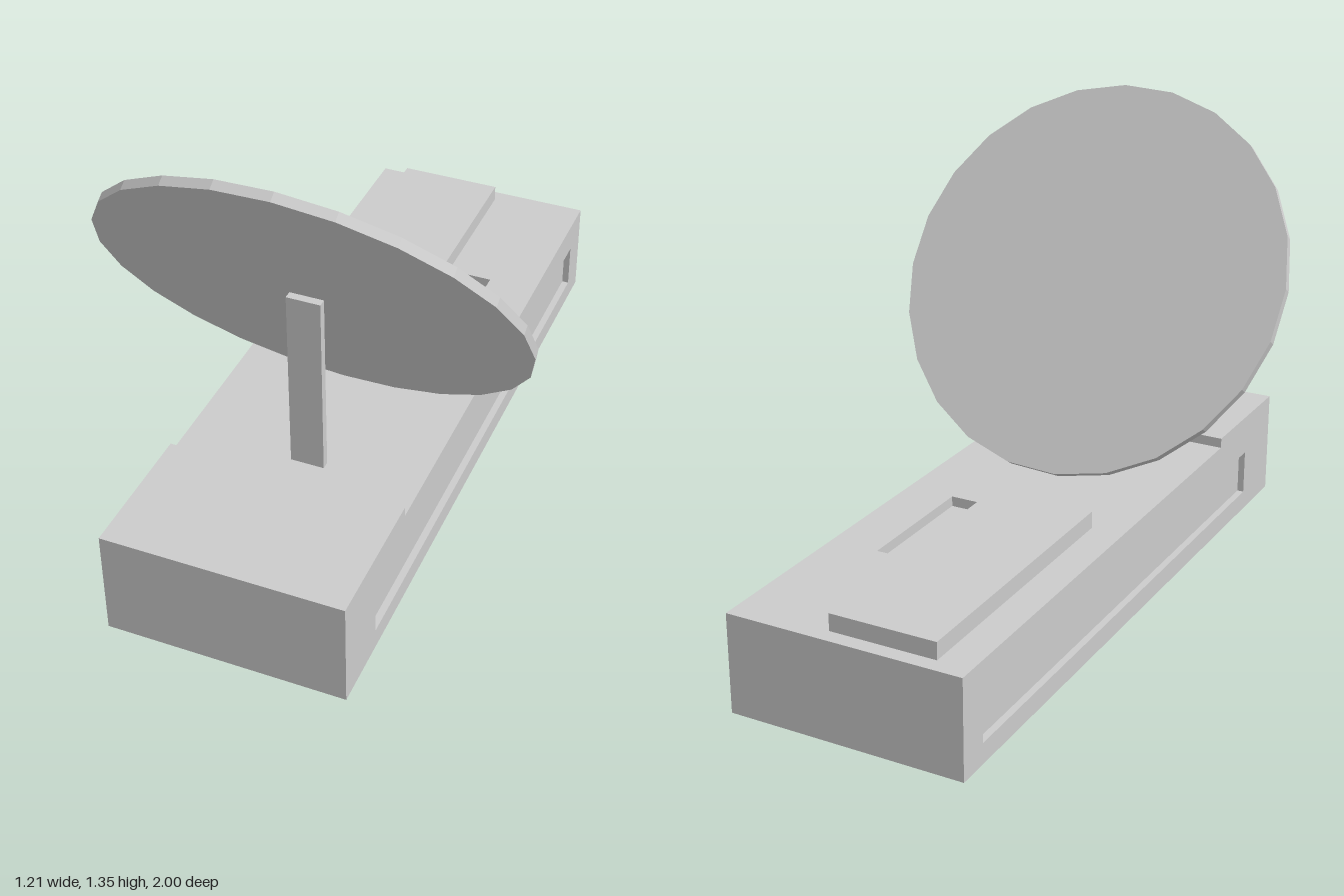
import * as THREE from 'three';

const material = new THREE.MeshStandardMaterial({ color: 0xcccccc, flatShading: true });

// Base extents
const LEFT = 0.322, RIGHT = -0.372, DECK = 0.29, RAISED = 0.32, STEP_Z = 0.593;
const RECESS = 0.02, SLOT_DEPTH = 0.03;

function add(group, name, geometry) {
  const mesh = new THREE.Mesh(geometry, material);
  mesh.name = name;
  group.add(mesh);
  return mesh;
}

// Box given by its minimum and maximum corners
function addBox(group, name, x0, x1, y0, y1, z0, z1) {
  const mesh = add(group, name, new THREE.BoxGeometry(x1 - x0, y1 - y0, z1 - z0));
  mesh.position.set((x0 + x1) / 2, (y0 + y1) / 2, (z0 + z1) / 2);
  return mesh;
}

function polygon(points, Type = THREE.Shape) {
  return new Type(points.map(([x, y]) => new THREE.Vector2(x, y)));
}

function rectangle(x0, x1, y0, y1, Type) {
  return polygon([[x0, y0], [x1, y0], [x1, y1], [x0, y1]], Type);
}

function createBase() {
  const base = new THREE.Group();
  base.name = 'base';
  const x0 = RIGHT + RECESS, x1 = LEFT - RECESS;

  addBox(base, 'core', x0, x1, 0, DECK - SLOT_DEPTH, -1, 1);
  addBox(base, 'raisedFront', x0, x1, DECK, RAISED, STEP_Z, 1);

  // Deck plate with the shallow slot cut through it
  const deck = rectangle(x0, x1, -1, 1);
  deck.holes.push(rectangle(0.07, 0.175, 0.11, 0.515, THREE.Path));
  const deckGeometry = new THREE.ExtrudeGeometry(deck, { depth: SLOT_DEPTH, bevelEnabled: false });
  deckGeometry.rotateX(-Math.PI / 2);
  add(base, 'deck', deckGeometry).position.y = DECK - SLOT_DEPTH;

  // Stepped side plates, each with a long window forming the side recess
  const side = polygon([[-1, 0], [1, 0], [1, DECK], [-STEP_Z, DECK], [-STEP_Z, RAISED], [-1, RAISED]]);
  side.holes.push(rectangle(-0.8, 0.905, 0.06, 0.197, THREE.Path));
  const sideGeometry = new THREE.ExtrudeGeometry(side, { depth: RECESS, bevelEnabled: false });
  sideGeometry.rotateY(Math.PI / 2);
  add(base, 'leftSide', sideGeometry).position.x = x1;
  add(base, 'rightSide', sideGeometry).position.x = RIGHT;
  return base;
}

export function createModel() {
  const model = new THREE.Group();
  model.name = 'dishOnBase';
  model.add(createBase());

  addBox(model, 'rearPanel', -0.275, 0.038, DECK, 0.34, -0.955, -0.108);
  addBox(model, 'supportPost', -0.052, 0.046, DECK, 0.842, 0.473, 0.497);

  // Thin tilted disc resting on the post
  const disc = add(model, 'disc', new THREE.CylinderGeometry(0.608, 0.608, 0.028, 24));
  disc.position.set(0, 0.828, 0.439);
  disc.rotation.set(-1.0, THREE.MathUtils.degToRad(4.8), 0);
  return model;
}
